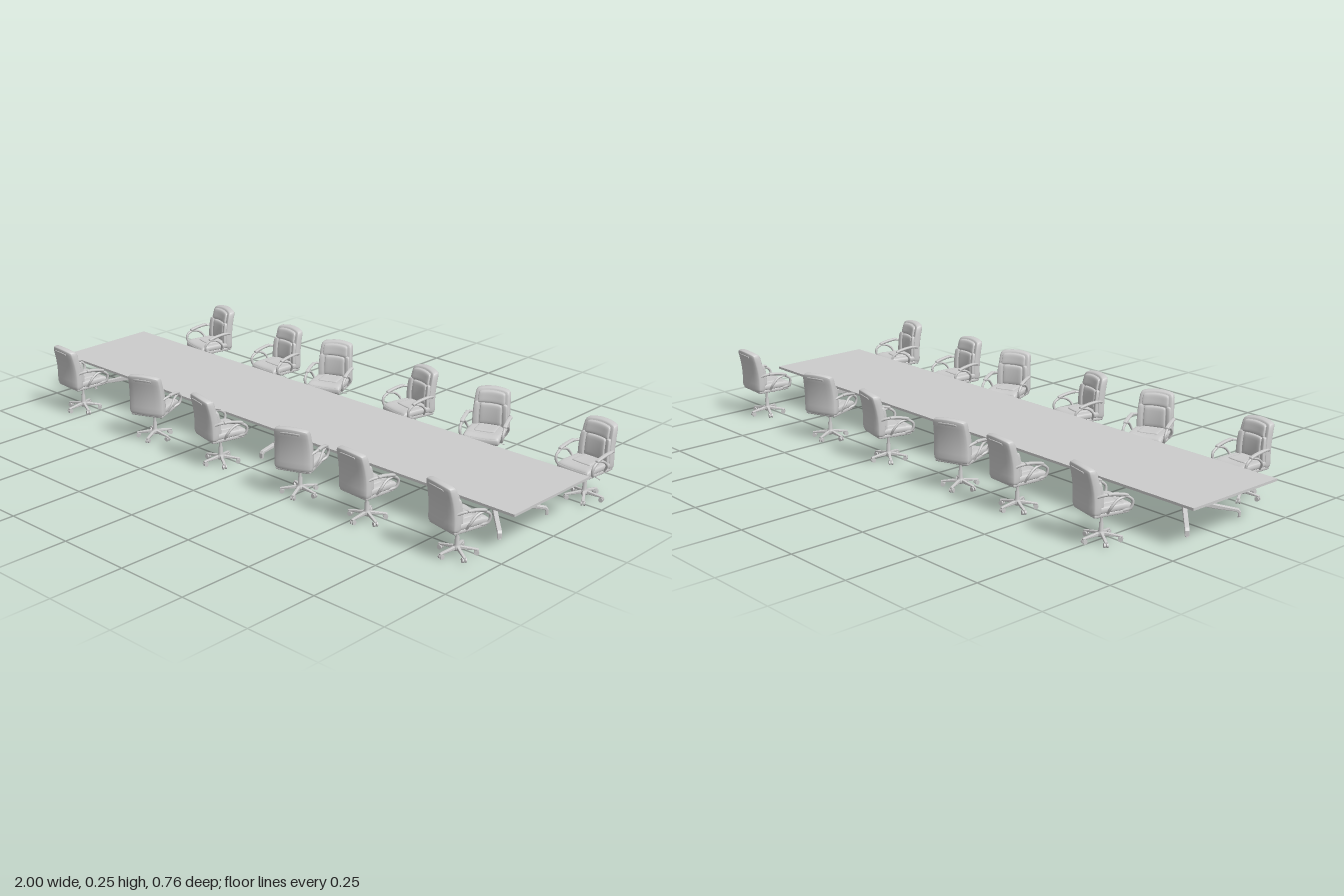
import * as THREE from 'three';
import { mergeVertices } from 'three/addons/utils/BufferGeometryUtils.js';

const material = new THREE.MeshStandardMaterial({ color: 0xcccccc });
const TABLE_Z = 0.02;

function add(parent, name, geometry, x = 0, y = 0, z = 0) {
  const mesh = new THREE.Mesh(geometry, material);
  mesh.name = name;
  mesh.position.set(x, y, z);
  parent.add(mesh);
  return mesh;
}

// Padded block with round edges; bend(v) may then reshape each vertex.
function cushion(size, at, radius, bend = () => {}, segs = [10, 10, 10]) {
  let g = new THREE.BoxGeometry(2, 2, 2, ...segs);
  g.deleteAttribute('uv');
  g.deleteAttribute('normal');
  g = mergeVertices(g);
  const half = new THREE.Vector3(...size).multiplyScalar(0.5);
  const inner = half.clone().subScalar(radius).max(new THREE.Vector3());
  const p = g.attributes.position, v = new THREE.Vector3(), core = new THREE.Vector3();
  for (let i = 0; i < p.count; i++) {
    v.fromBufferAttribute(p, i);
    for (const k of ['x', 'y', 'z']) v[k] = half[k] * Math.sin(v[k] * Math.PI / 2);
    core.copy(v).clamp(inner.clone().negate(), inner);
    v.sub(core).setLength(radius).add(core);
    v.add(new THREE.Vector3(...at));
    bend(v);
    p.setXYZ(i, v.x, v.y, v.z);
  }
  g.computeVertexNormals();
  return g;
}

function tube(points, radius, segments = 20) {
  const curve = new THREE.CatmullRomCurve3(points.map(p => new THREE.Vector3(...p)));
  return new THREE.TubeGeometry(curve, segments, radius, 8);
}

// Side profile extruded to a blade lying along +x.
function blade(points, thickness) {
  const shape = new THREE.Shape(points.map(p => new THREE.Vector2(...p)));
  const bevel = 0.002;
  return new THREE.ExtrudeGeometry(shape, {
    depth: thickness - 2 * bevel, bevelThickness: bevel, bevelSize: bevel, bevelOffset: -bevel, bevelSegments: 2
  }).translate(0, 0, bevel - thickness / 2);
}

// Backrest leans backwards, wraps round the sitter and has a crowned top.
function bendBack(v) {
  const t = (v.y - 0.1) / 0.145;
  v.z += -0.049 - 0.017 * t + 0.007 * Math.sin(t * Math.PI) + 2.2 * v.x * v.x;
  v.y -= 1.8 * v.x * v.x * Math.max(t, 0);
  v.x *= 1 - 0.1 * t * t;
}

// Seat drops over at the front edge and dishes in the middle.
function bendSeat(v) {
  v.y -= 5 * Math.max(0, v.z - 0.03) ** 2 - 0.8 * v.x * v.x;
}

function createBase(chair) {
  const base = new THREE.Group();
  base.name = 'swivelBase';
  chair.add(base);
  const profile = [[0, 0.014], [0.01, 0.014], [0.012, 0.02], [0.011, 0.028], [0.007, 0.032], [0.007, 0.055],
    [0.0045, 0.057], [0.0045, 0.082], [0.009, 0.086], [0.009, 0.095], [0, 0.095]];
  add(base, 'gasColumn', new THREE.LatheGeometry(profile.map(p => new THREE.Vector2(...p)), 16));
  const spoke = blade([[0.004, 0.017], [0.054, 0.014], [0.062, 0.013], [0.062, 0.018], [0.054, 0.02], [0.004, 0.029]], 0.009);
  const wheel = new THREE.CylinderGeometry(0.0075, 0.0075, 0.005, 12).rotateX(Math.PI / 2);
  const stem = new THREE.CylinderGeometry(0.002, 0.002, 0.012, 8);
  for (let i = 0; i < 5; i++) {
    const arm = new THREE.Group();
    arm.name = 'baseSpoke';
    arm.rotation.y = Math.PI / 2 + i * Math.PI * 2 / 5;
    base.add(arm);
    add(arm, 'spoke', spoke);
    add(arm, 'casterStem', stem, 0.057, 0.012, 0);
    for (const side of [-1, 1]) add(arm, 'casterWheel', wheel, 0.056, 0.0075, side * 0.0042);
  }
}

function createChair() {
  const chair = new THREE.Group();
  chair.name = 'chair';
  createBase(chair);

  // Tilt mechanism, tension knob and lever
  add(chair, 'tiltMechanism', new THREE.BoxGeometry(0.04, 0.01, 0.06), 0, 0.094, 0);
  add(chair, 'tensionKnob', new THREE.CylinderGeometry(0.008, 0.007, 0.015, 12), 0, 0.084, 0.027);
  add(chair, 'heightLever', tube([[0.015, 0.092, 0.01], [0.045, 0.088, 0.01], [0.066, 0.085, 0.012]], 0.0015, 8));

  // Seat: shell, upholstery, centre panel and front roll
  const flat = [10, 4, 10];
  add(chair, 'seatShell', cushion([0.116, 0.014, 0.12], [0, 0.101, 0], 0.006, () => {}, flat));
  add(chair, 'seatCushion', cushion([0.122, 0.022, 0.13], [0, 0.113, 0.005], 0.01, bendSeat, flat));
  add(chair, 'seatPanel', cushion([0.072, 0.014, 0.075], [0, 0.121, -0.01], 0.006, bendSeat, flat));
  add(chair, 'seatFrontRoll', cushion([0.118, 0.022, 0.036], [0, 0.115, 0.05], 0.01, bendSeat, flat));

  // Back: padded shell with headrest, lumbar pads and side bolsters
  const upright = [10, 10, 4];
  add(chair, 'backrest', cushion([0.126, 0.146, 0.03], [0, 0.173, -0.008], 0.013, bendBack, upright));
  add(chair, 'headCushion', cushion([0.096, 0.04, 0.018], [0, 0.217, 0.006], 0.008, bendBack, upright));
  add(chair, 'lumbarCushion', cushion([0.076, 0.07, 0.018], [0, 0.161, 0.006], 0.008, bendBack, upright));
  add(chair, 'backHandle', cushion([0.07, 0.007, 0.005], [0, 0.229, -0.023], 0.002, bendBack, [8, 3, 3]));
  for (const s of [-1, 1]) {
    add(chair, 'backBolster', cushion([0.019, 0.086, 0.02], [s * 0.049, 0.16, 0.006], 0.008, bendBack, [4, 8, 4]));

    // Looped armrest with a pad on top
    add(chair, 'armrestFrame', tube([[s * 0.056, 0.104, 0.035], [s * 0.067, 0.112, 0.054], [s * 0.071, 0.135, 0.058],
      [s * 0.071, 0.152, 0.036], [s * 0.071, 0.163, -0.005], [s * 0.067, 0.164, -0.035], [s * 0.058, 0.158, -0.052]], 0.0045));
    add(chair, 'armrestStrut', tube([[s * 0.071, 0.152, 0.035], [s * 0.071, 0.145, 0.008],
      [s * 0.069, 0.125, -0.012], [s * 0.056, 0.104, -0.016]], 0.004, 12));
    add(chair, 'armrestPad', cushion([0.013, 0.008, 0.07], [s * 0.071, 0.163, 0.008], 0.0038,
      v => { v.y -= 0.18 * (v.z - 0.008) + 2 * (v.z - 0.008) ** 2; }, [4, 4, 8]));
  }
  return chair;
}

function createPedestal(x, legAngles) {
  const pedestal = new THREE.Group();
  pedestal.name = 'tablePedestal';
  pedestal.position.set(x, 0, TABLE_Z);
  const profile = [[0, 0.042], [0.013, 0.042], [0.015, 0.05], [0.014, 0.066], [0.01, 0.074], [0.0095, 0.098],
    [0.014, 0.106], [0.018, 0.12], [0.018, 0.127], [0, 0.127]];
  add(pedestal, 'column', new THREE.LatheGeometry(profile.map(p => new THREE.Vector2(...p)), 20));
  // Arched leg ending in a downturned foot
  const leg = blade([[0.005, 0.044], [0.04, 0.043], [0.1, 0.033], [0.155, 0.026], [0.161, 0.022], [0.162, 0.01],
    [0.169, 0.01], [0.169, 0.026], [0.163, 0.034], [0.1, 0.046], [0.03, 0.065], [0.005, 0.073]], 0.014);
  const glide = new THREE.CylinderGeometry(0.004, 0.005, 0.004, 10);
  for (const angle of legAngles) {
    add(pedestal, 'tableLeg', leg).rotation.y = angle;
    add(pedestal, 'footGlide', glide, 0.165 * Math.cos(angle), 0.009, -0.165 * Math.sin(angle));
  }
  // Spider arms under the top
  const arm = blade([[0.005, 0.104], [0.03, 0.108], [0.085, 0.119], [0.115, 0.124], [0.115, 0.128], [0.005, 0.128]], 0.012);
  for (let i = 0; i < 4; i++) add(pedestal, 'topSupportArm', arm).rotation.y = Math.PI / 4 + i * Math.PI / 2;
  return pedestal;
}

export function createModel() {
  const model = new THREE.Group();
  model.name = 'conferenceTableWithChairs';

  // Table
  const q = Math.PI / 4;
  add(model, 'tableTop', new THREE.BoxGeometry(2, 0.008, 0.37), 0, 0.131, 0.015);
  model.add(createPedestal(-0.8, [3 * q, 5 * q]));
  model.add(createPedestal(-0.015, [2 * q, -2 * q]));
  model.add(createPedestal(0.79, [q, -q]));
  for (const [from, to] of [[-0.8, -0.015], [-0.015, 0.79]])
    add(model, 'stretcher', new THREE.BoxGeometry(to - from, 0.012, 0.014), (from + to) / 2, 0.056, TABLE_Z);

  // Chairs: [x, turn] for the row on each side
  const backRow = [[-0.76, -0.24], [-0.41, -0.08], [-0.15, 0.36], [0.21, -0.23], [0.53, 0.36], [0.91, -0.08]];
  const frontRow = [[-0.8, -0.08], [-0.42, 0.4], [-0.1, -0.24], [0.255, 0.38], [0.53, -0.08], [0.87, -0.22]];
  const chair = createChair();
  for (const [row, z, facing] of [[backRow, -0.287, 0], [frontRow, 0.287, Math.PI]])
    for (const [x, turn] of row) {
      const copy = chair.clone();
      copy.position.set(x, 0, z);
      copy.rotation.y = facing + turn;
      model.add(copy);
    }
  return model;
}
